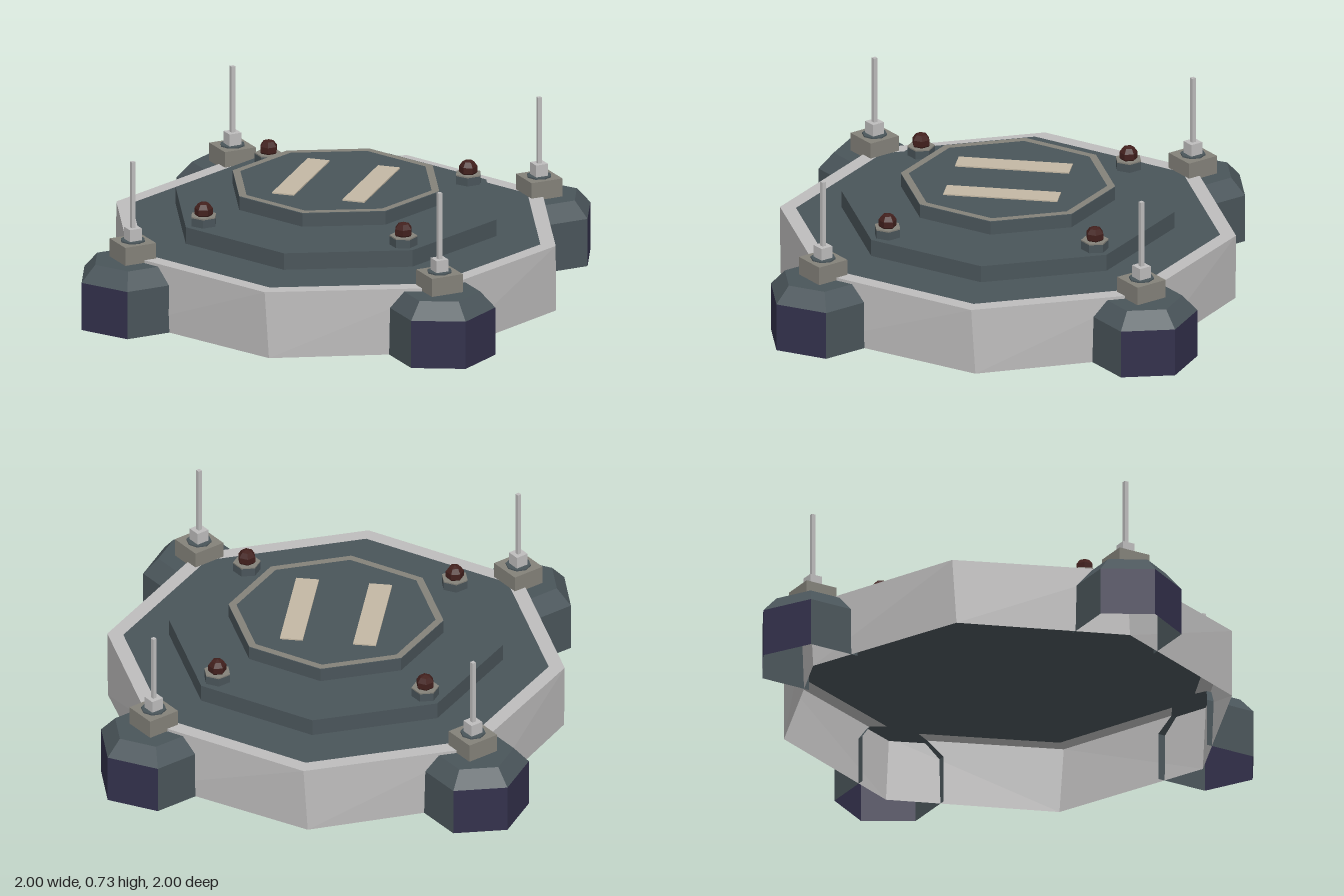
import * as THREE from 'three';

const mat = (name, color) => {
  const m = new THREE.MeshStandardMaterial({ color, flatShading: true, side: THREE.DoubleSide });
  m.name = name;
  return m;
};

export function createModel() {
  const lightGrey = mat('lightGrey', 0xbebdbd);
  const slate = mat('slate', 0x4a555a);
  const navy = mat('navy', 0x33314c);
  const trim = mat('trimGrey', 0x84827a);
  const cream = mat('creamPaint', 0xc4b8a4);
  const lampRed = mat('lampRed', 0x42201d);

  const root = new THREE.Group();
  root.name = 'landingPad';

  const add = (parent, name, geo, material, x = 0, y = 0, z = 0) => {
    const mesh = new THREE.Mesh(geo, material);
    mesh.name = name;
    mesh.position.set(x, y, z);
    parent.add(mesh);
    return mesh;
  };
  // Prism standing between two heights
  const prism = (rTop, rBottom, y0, y1, sides) =>
    new THREE.CylinderGeometry(rTop, rBottom, y1 - y0, sides).translate(0, (y0 + y1) / 2, 0);
  // Open run of prism faces, angles in degrees about +z
  const faces = (rTop, rBottom, y0, y1, from, count) =>
    new THREE.CylinderGeometry(rTop, rBottom, y1 - y0, count, 1, true,
      THREE.MathUtils.degToRad(from), count * Math.PI / 3).translate(0, (y0 + y1) / 2, 0);
  const flat = (geo) => geo.rotateX(-Math.PI / 2);

  // Octagonal outer wall, its foot turned very slightly
  const wall = new THREE.CylinderGeometry(1, 0.995, 0.3, 8, 1, true).translate(0, 0.15, 0);
  const pos = wall.attributes.position;
  const v = new THREE.Vector3();
  const up = new THREE.Vector3(0, 1, 0);
  for (let i = 0; i < pos.count; i++) {
    v.fromBufferAttribute(pos, i);
    if (v.y < 0.1) v.applyAxisAngle(up, 0.018);
    pos.setXYZ(i, v.x, v.y, v.z);
  }
  add(root, 'outerWall', wall, lightGrey);
  add(root, 'wallRim', flat(new THREE.RingGeometry(0.93, 1, 8)), lightGrey, 0, 0.3, 0);
  add(root, 'deck', flat(new THREE.CircleGeometry(0.93, 8)), slate, 0, 0.3, 0);

  // Raised tiers, each with a narrow gap beneath
  add(root, 'middleTier', prism(0.73, 0.73, 0.318, 0.393, 8), slate);
  add(root, 'landingPlate', prism(0.47, 0.47, 0.433, 0.493, 8), slate);
  add(root, 'plateBorder', flat(new THREE.RingGeometry(0.435, 0.47, 8)), trim, 0, 0.496, 0);

  // Painted landing stripes
  for (const s of [-1, 1]) {
    add(root, 'landingStripe', new THREE.BoxGeometry(0.1, 0.006, 0.5), cream, s * 0.16, 0.497, 0);
  }

  // Four corners: pod, antenna and lamp, built along +z and turned to the diagonals
  for (let i = 0; i < 4; i++) {
    const corner = new THREE.Group();
    corner.name = 'corner';
    corner.rotation.y = Math.PI / 4 + i * Math.PI / 2;
    root.add(corner);

    const pod = new THREE.Group();
    pod.name = 'pod';
    pod.position.z = 1;
    corner.add(pod);
    add(pod, 'podOuterFaces', faces(0.236, 0.236, 0, 0.215, -60, 2), navy);
    add(pod, 'podSideFace', faces(0.236, 0.236, 0, 0.215, -120, 1), slate);
    add(pod, 'podSideFace', faces(0.236, 0.236, 0, 0.215, 60, 1), slate);
    add(pod, 'podShoulder', faces(0.17, 0.236, 0.215, 0.287, -120, 4), slate);
    add(pod, 'podTop', flat(new THREE.CircleGeometry(0.17, 6, Math.PI / 2)), slate, 0, 0.287, 0);

    const antenna = new THREE.Group();
    antenna.name = 'antenna';
    antenna.position.z = 0.987;
    corner.add(antenna);
    add(antenna, 'antennaBase', new THREE.BoxGeometry(0.15, 0.082, 0.15), trim, 0, 0.329, 0);
    add(antenna, 'antennaGasket', prism(0.055, 0.055, 0.37, 0.376, 8), slate);
    add(antenna, 'antennaSocket', new THREE.BoxGeometry(0.058, 0.06, 0.058), lightGrey, 0, 0.4, 0);
    add(antenna, 'antennaMast', new THREE.BoxGeometry(0.018, 0.3, 0.018), lightGrey, 0, 0.58, 0);

    const lamp = new THREE.Group();
    lamp.name = 'lamp';
    lamp.position.z = 0.643;
    corner.add(lamp);
    add(lamp, 'lampBase', prism(0.06, 0.06, 0.393, 0.43, 6), slate);
    add(lamp, 'lampCollar', prism(0.06, 0.06, 0.43, 0.436, 6), trim);
    add(lamp, 'lampBulb', new THREE.SphereGeometry(0.042, 6, 5), lampRed, 0, 0.455, 0);
  }
  return root;
}
